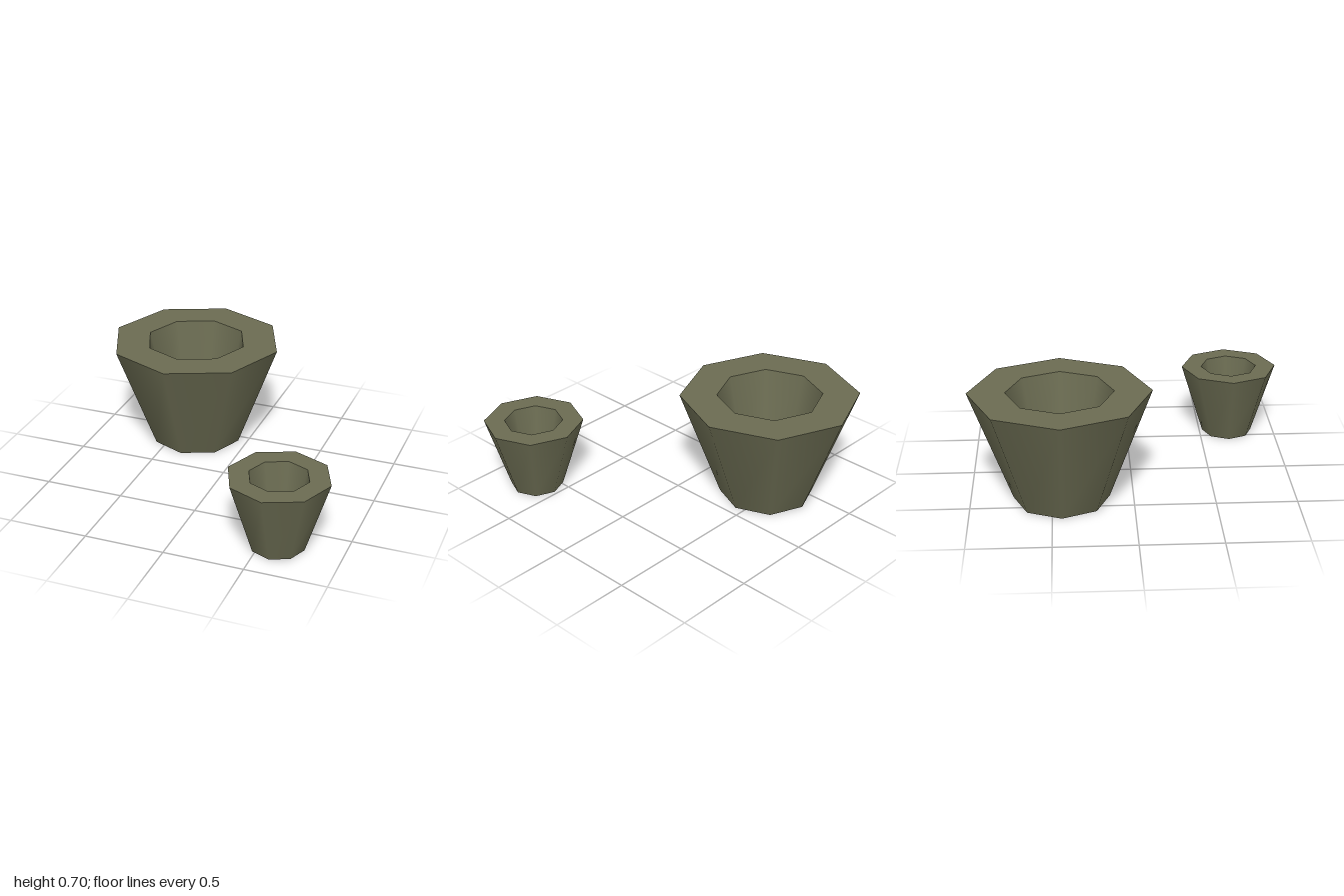
import * as THREE from 'three';

const SIDES = 8;
const material = new THREE.MeshStandardMaterial({ color: 0x6b6c52, side: THREE.DoubleSide });

function addPart(group, name, geometry, y) {
  const mesh = new THREE.Mesh(geometry, material);
  mesh.name = name;
  mesh.position.y = y;
  group.add(mesh);
}

// Eight-sided tapered pot: hollow shell, broad flat rim and a sunken cup
function createPot({ name, x, z, height, rim, base, mouth, floor }) {
  const pot = new THREE.Group();
  pot.name = name;
  pot.position.set(x, 0, z);

  // Outer wall, open underneath
  addPart(pot, 'outerWall',
    new THREE.CylinderGeometry(rim, base, height, SIDES, 1, true), height / 2);

  // Flat top rim
  addPart(pot, 'rim',
    new THREE.RingGeometry(mouth, rim, SIDES).rotateX(-Math.PI / 2), height);

  // Inner wall, turned to face the middle of the cup
  const floorY = height * 0.4;
  const depth = height - floorY;
  const inner = new THREE.CylinderGeometry(floor, mouth, depth, SIDES, 1, true);
  inner.scale(1, -1, 1);
  const normals = inner.attributes.normal;
  for (let i = 0; i < normals.count; i++) {
    normals.setXYZ(i, -normals.getX(i), -normals.getY(i), -normals.getZ(i));
  }
  addPart(pot, 'innerWall', inner, floorY + depth / 2);

  // Cup floor
  addPart(pot, 'cupFloor',
    new THREE.CircleGeometry(floor, SIDES).rotateX(-Math.PI / 2), floorY);
  return pot;
}

export function createModel() {
  const model = new THREE.Group();
  model.name = 'pots';
  model.add(
    createPot({ name: 'largePot', x: -0.357, z: -0.442, height: 0.697,
      rim: 0.558, base: 0.297, mouth: 0.328, floor: 0.232 }),
    createPot({ name: 'smallPot', x: 0.6, z: 0.687, height: 0.465,
      rim: 0.313, base: 0.166, mouth: 0.184, floor: 0.13 })
  );
  return model;
}
